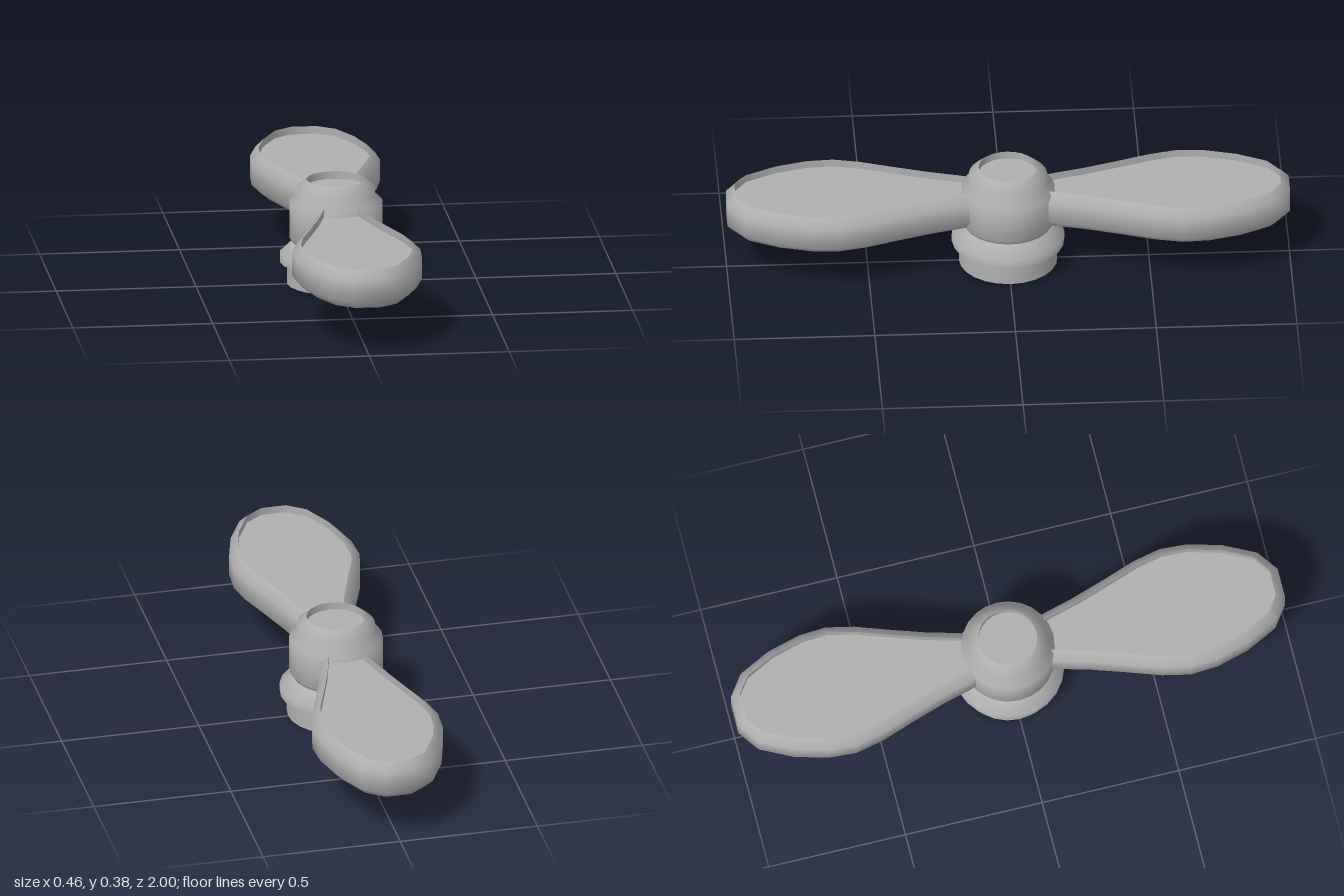
import * as THREE from 'three';
import { toCreasedNormals } from 'three/addons/utils/BufferGeometryUtils.js';

const SIDES = 24;

// Blade half outline: [half width, distance from the hub axis]
const HALF = [
  [0.075, 0.1], [0.095, 0.16], [0.125, 0.27], [0.165, 0.39], [0.207, 0.51], [0.229, 0.61],
  [0.223, 0.71], [0.19, 0.83], [0.132, 0.945], [0.055, 1.0],
];

// Moves every corner of the closed outline inwards by d
function inset(pts, d) {
  const n = pts.length;
  const normal = (a, b) => new THREE.Vector2(b.y - a.y, a.x - b.x).normalize();
  return pts.map((p, i) => {
    const n1 = normal(pts[(i + n - 1) % n], p);
    const n2 = normal(p, pts[(i + 1) % n]);
    const m = n1.clone().add(n2).normalize();
    return p.clone().addScaledVector(m, -d / m.dot(n1));
  });
}

function geometryFrom(positions) {
  const g = new THREE.BufferGeometry();
  g.setAttribute('position', new THREE.Float32BufferAttribute(positions, 3));
  g.computeVertexNormals();
  return g;
}

// Joins stacked rings of { pts, y } with quads
function loft(rings) {
  const out = [];
  for (let r = 0; r < rings.length - 1; r++) {
    const a = rings[r], b = rings[r + 1], n = a.pts.length;
    const put = (ring, i) => out.push(ring.pts[i].x, ring.y, ring.pts[i].y);
    for (let i = 0; i < n; i++) {
      const j = (i + 1) % n;
      put(a, i); put(b, i); put(b, j);
      put(a, i); put(b, j); put(a, j);
    }
  }
  return toCreasedNormals(geometryFrom(out), 1.0);
}

// Flat fan that fills a ring
function fan(pts, y, up) {
  const out = [];
  pts.forEach((p, i) => {
    const q = pts[(i + 1) % pts.length];
    const [s, t] = up ? [q, p] : [p, q];
    out.push(0, y, 0.55, s.x, y, s.y, t.x, y, t.y);
  });
  return geometryFrom(out);
}

export function createModel() {
  const model = new THREE.Group();
  model.name = 'propeller';
  const metal = new THREE.MeshStandardMaterial({ color: 0xb0b0b0 });
  metal.name = 'grey';
  const metalOpen = new THREE.MeshStandardMaterial({ color: 0xb0b0b0, side: THREE.DoubleSide });
  metalOpen.name = 'grey open';

  const add = (parent, name, geometry, material = metal) => {
    const mesh = new THREE.Mesh(geometry, material);
    mesh.name = name;
    parent.add(mesh);
    return mesh;
  };

  // Hub: flange, neck, body, cap and the wall of the cap recess
  const profile = [
    [0.175, 0.08], [0.2, 0.08], [0.2, 0.11], [0.155, 0.152], [0.166, 0.17], [0.166, 0.3],
    [0.14, 0.325], [0.14, 0.35], [0.105, 0.38], [0.105, 0.352],
  ].map(([x, y]) => new THREE.Vector2(x, y));
  add(model, 'hub', toCreasedNormals(new THREE.LatheGeometry(profile, SIDES), 1.0));

  const capFloor = new THREE.CircleGeometry(0.105, SIDES).rotateX(-Math.PI / 2);
  add(model, 'capFloor', capFloor.translate(0, 0.352, 0));

  // Hollow base sleeve, closed inside
  const sleeve = new THREE.CylinderGeometry(0.175, 0.175, 0.1, SIDES, 1, true);
  add(model, 'baseSleeve', sleeve.translate(0, 0.05, 0), metalOpen);
  const ceiling = new THREE.CircleGeometry(0.175, SIDES).rotateX(Math.PI / 2);
  add(model, 'sleeveCeiling', ceiling.translate(0, 0.1, 0));

  // Blades: bevelled rim around a shallow sunken face
  const right = HALF.map(([x, z]) => new THREE.Vector2(x, z));
  const left = HALF.map(([x, z]) => new THREE.Vector2(-x, z)).reverse();
  const outer = [...right, ...left];
  const inner = inset(outer, 0.03);
  const rim = loft([
    { pts: inner, y: 0.17 }, { pts: outer, y: 0.2 }, { pts: outer, y: 0.28 },
    { pts: inner, y: 0.31 }, { pts: inner, y: 0.282 },
  ]);
  const face = fan(inner, 0.282, true);
  const underside = fan(inner, 0.17, false);

  ['frontBlade', 'backBlade'].forEach((name, i) => {
    const blade = new THREE.Group();
    blade.name = name;
    add(blade, 'bladeRim', rim);
    add(blade, 'bladeFace', face);
    add(blade, 'bladeUnderside', underside);
    blade.rotation.y = i * Math.PI;
    model.add(blade);
  });

  return model;
}
